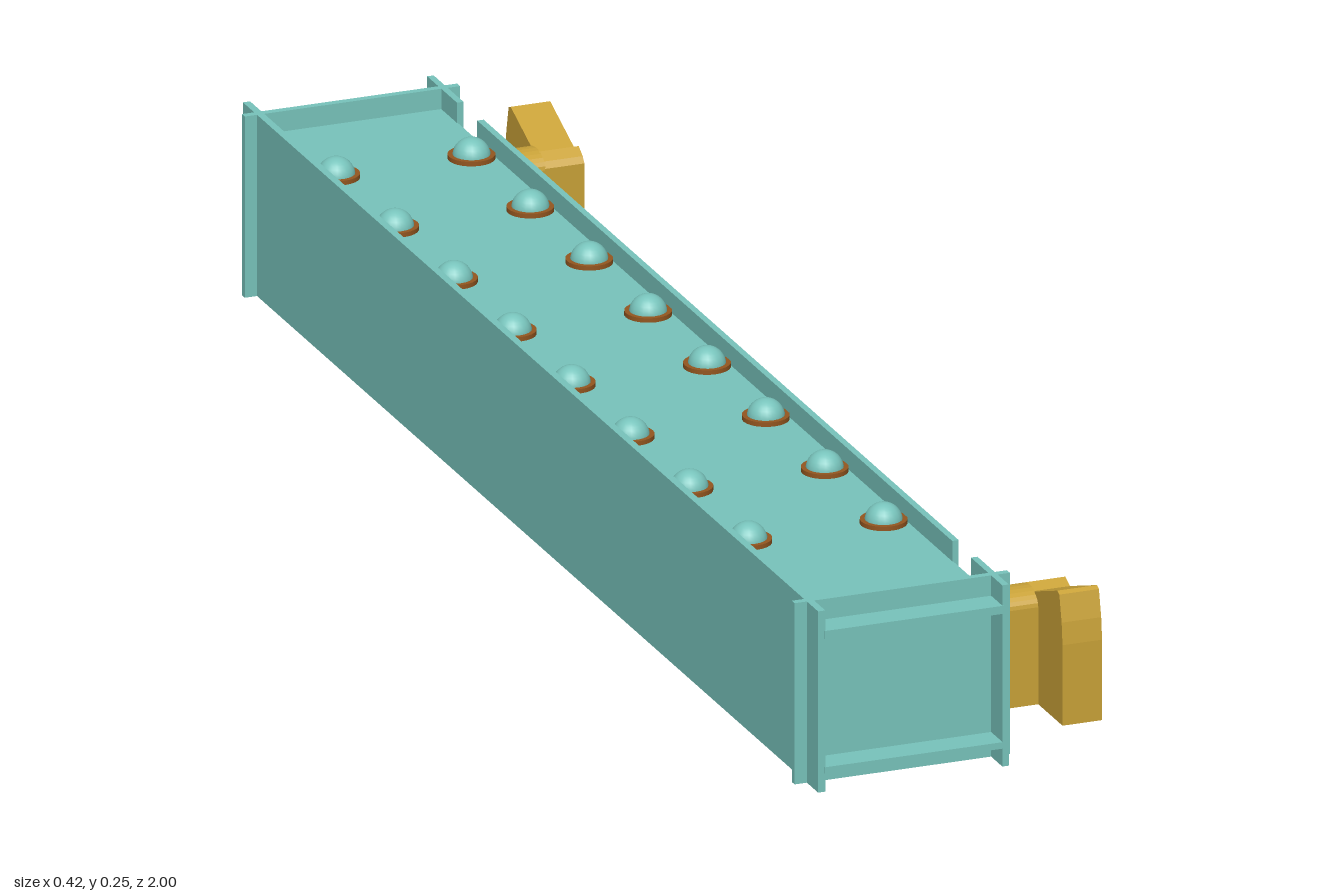
import * as THREE from 'three';

const teal = new THREE.MeshStandardMaterial({ name: 'teal paint', color: 0x78c4bc });
const gold = new THREE.MeshStandardMaterial({ name: 'gold', color: 0xc9a238 });
const rust = new THREE.MeshStandardMaterial({ name: 'rust brown', color: 0x94561f });

export function createModel() {
  const model = new THREE.Group();
  model.name = 'boxBeam';

  const add = (name, geometry, material, parent = model) => {
    const mesh = new THREE.Mesh(geometry, material);
    mesh.name = name;
    parent.add(mesh);
    return mesh;
  };
  // Box given by its lower and upper limits on each axis
  const box = (name, material, [x0, x1], [y0, y1], [z0, z1]) => {
    const mesh = add(name, new THREE.BoxGeometry(x1 - x0, y1 - y0, z1 - z0), material);
    mesh.position.set((x0 + x1) / 2, (y0 + y1) / 2, (z0 + z1) / 2);
    return mesh;
  };

  // Core, plates and side walls
  const inner = [-0.186, 0.062];
  box('core', gold, [-0.185, 0.06], [0.034, 0.211], [-0.962, 0.95]);
  box('topPlate', teal, inner, [0.211, 0.222], [-1, 1]);
  box('bottomPlate', teal, inner, [0.025, 0.034], [-1, 1]);
  box('rightWall', teal, [-0.195, -0.185], [0, 0.25], [-0.999, 0.999]);
  box('leftWall', teal, [0.061, 0.07], [0, 0.25], [-0.825, 0.825]);
  box('leftWallFrontEnd', teal, [0.061, 0.07], [0, 0.25], [0.89, 0.999]);
  box('leftWallBackEnd', teal, [0.061, 0.07], [0, 0.25], [-0.999, -0.895]);

  // End flanges
  for (const [name, z] of [['frontFlange', 0.955], ['backFlange', -0.955]]) {
    box(name, teal, [-0.212, 0.087], [0, 0.25], [z - 0.005, z + 0.005]);
  }

  // Rivets in two rows, with washers on the top plate
  const dome = new THREE.SphereGeometry(0.025, 20, 8, 0, Math.PI * 2, 0, Math.PI / 2);
  const washer = new THREE.CylinderGeometry(0.031, 0.031, 0.006, 24);
  for (const x of [-0.157, 0.031]) {
    for (let i = 0; i < 8; i++) {
      const z = -0.77 + i * 0.2045;
      add('washer', washer, rust).position.set(x, 0.225, z);
      add('topRivet', dome, teal).position.set(x, 0.225, z);
      const low = add('bottomRivet', dome, teal);
      low.position.set(x, 0.025, z);
      low.rotation.x = Math.PI;
      low.scale.set(0.85, 0.8, 0.85);
    }
  }

  // Side profile in (z, y), extruded along x; side = 1 for front, -1 for back
  const extrudeX = (points, side, x0, x1) => {
    const shape = new THREE.Shape(points.map(([z, y]) => new THREE.Vector2(-side * z, y)));
    const geometry = new THREE.ExtrudeGeometry(shape, { depth: x1 - x0, bevelEnabled: false });
    return geometry.rotateY(Math.PI / 2).translate(x0, 0, 0);
  };

  // Hooked arms: a round-topped stub and an upright hook pointing outwards
  for (const side of [1, -1]) {
    const arm = new THREE.Group();
    arm.name = side > 0 ? 'frontArm' : 'backArm';
    model.add(arm);
    const stub = [[0.825, 0.034]];
    for (let i = 0; i <= 12; i++) {
      const a = Math.PI * (1 - i / 12);
      stub.push([0.857 + 0.032 * Math.cos(a), 0.168 + 0.02 * Math.sin(a)]);
    }
    stub.push([0.889, 0.034]);
    add('armStub', extrudeX(stub, side, 0.05, 0.156), gold, arm);

    const tip = side > 0 ? 0.973 : 0.962;
    const hook = [
      [0.825, 0.034], [0.825, 0.17], [0.831, 0.178], [0.845, 0.187], [0.862, 0.18],
      [tip - 0.018, 0.214], [tip - 0.011, 0.211], [tip - 0.003, 0.175], [tip, 0.145], [tip, 0.034],
    ];
    add('armHook', extrudeX(hook, side, 0.155, 0.21), gold, arm);
  }
  return model;
}
